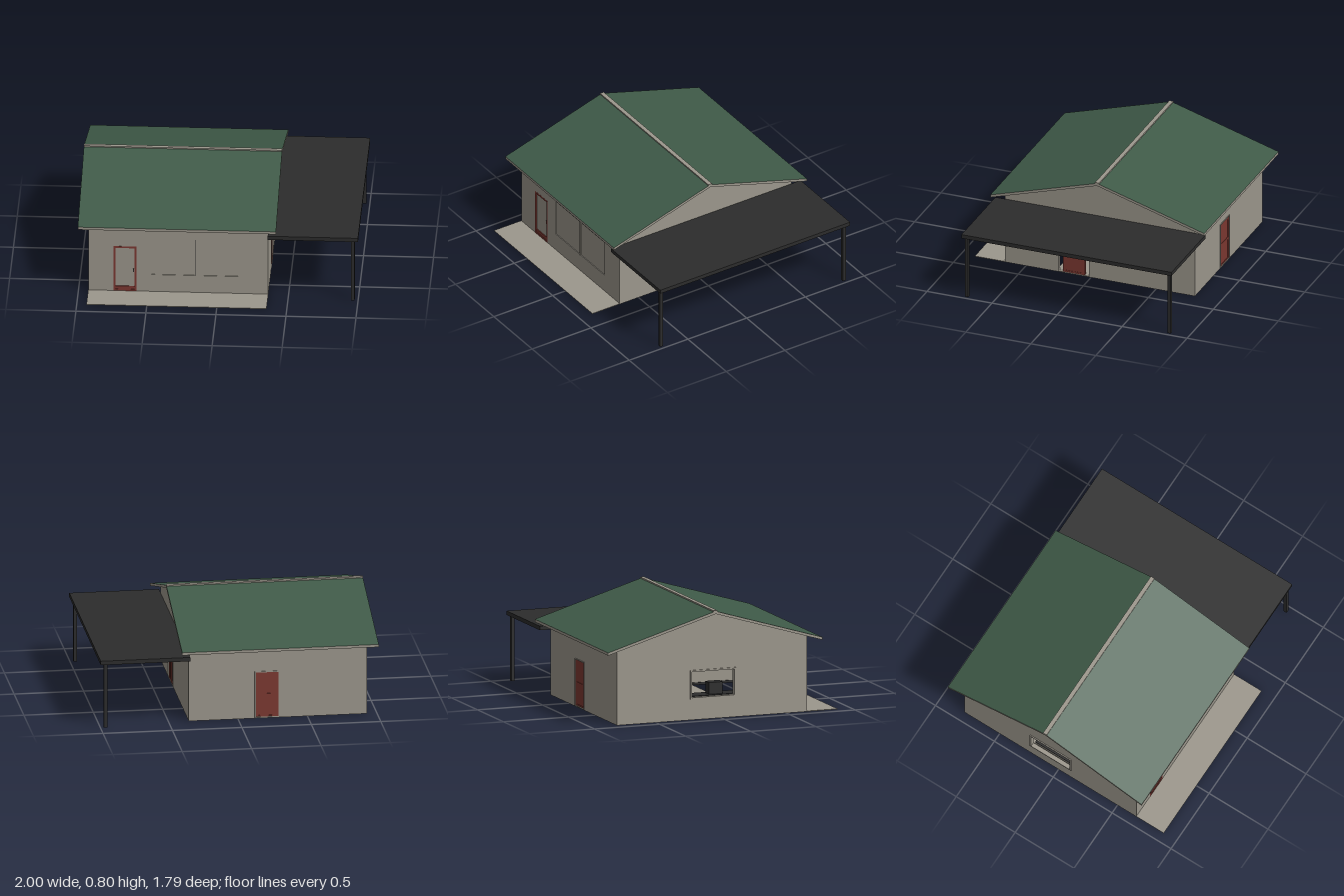
import * as THREE from 'three';

const mat = (name, color) => {
  const m = new THREE.MeshStandardMaterial({ color });
  m.name = name;
  return m;
};

export function createModel() {
  const house = new THREE.Group();
  house.name = 'house';
  const beige = mat('beige plaster', 0x9c978c);
  const green = mat('green roofing', 0x3f5a48);
  const red = mat('red joinery', 0x7c3831);
  const black = mat('black metal', 0x2c2c2c);

  // Main dimensions
  const X0 = -0.93, X1 = 0.355, Z0 = -0.8, Z1 = 0.66, T = 0.03;
  const ridgeZ = -0.07, ridgeY = 0.79, slope = 0.298, roofT = 0.02;
  const under = z => ridgeY - roofT - slope * Math.abs(z - ridgeZ);

  // Box given by its limits on each axis
  const box = (name, m, x0, x1, y0, y1, z0, z1, parent = house) => {
    const mesh = new THREE.Mesh(new THREE.BoxGeometry(x1 - x0, y1 - y0, z1 - z0), m);
    mesh.position.set((x0 + x1) / 2, (y0 + y1) / 2, (z0 + z1) / 2);
    mesh.name = name;
    parent.add(mesh);
    return mesh;
  };

  // Wall panel: outline and rectangular openings [u0, u1, v0, v1]
  const wall = (name, outline, openings) => {
    const shape = new THREE.Shape(outline.map(p => new THREE.Vector2(...p)));
    for (const [a, b, c, d] of openings) {
      shape.holes.push(new THREE.Path([[a, c], [a, d], [b, d], [b, c]].map(p => new THREE.Vector2(...p))));
    }
    const geo = new THREE.ExtrudeGeometry(shape, { depth: T, bevelEnabled: false });
    const mesh = new THREE.Mesh(geo, beige);
    mesh.name = name;
    house.add(mesh);
    return mesh;
  };

  // Rectangular frame lying in the xy plane, centred on z = 0
  const frame = (parent, m, a, b, c, d, w, depth) => {
    const h = depth / 2;
    box('frameSide', m, a, a + w, c, d, -h, h, parent);
    box('frameSide', m, b - w, b, c, d, -h, h, parent);
    box('frameTop', m, a + w, b - w, d - w, d, -h, h, parent);
    box('frameBottom', m, a + w, b - w, c, c + w, -h, h, parent);
  };
  const fitting = (name, x, z, turn = 0) => {
    const g = new THREE.Group();
    g.name = name;
    g.position.set(x, 0, z);
    g.rotation.y = turn;
    house.add(g);
    return g;
  };

  // Walls
  const long = [[X0 + T, 0], [X1 - T, 0], [X1 - T, 0.55], [X0 + T, 0.55]];
  const frontDoor = [-0.75, -0.585, 0.003, 0.357], frontWin = [-0.485, 0.16, 0.133, 0.42];
  const backDoor = [-0.3, -0.12, 0.003, 0.35];
  wall('frontWall', long, [frontDoor, frontWin]).position.z = Z1 - T;
  wall('backWall', long, [backDoor]).position.z = Z0;
  const gable = [[Z0, 0], [Z1, 0], [Z1, under(Z1)], [ridgeZ, under(ridgeZ)], [Z0, under(Z0)]];
  const side = [0.008, 0.255, 0.003, 0.345], sideWin = [-0.24, 0.11, 0.15, 0.36];
  for (const [name, x, hole] of [['leftGableWall', X1, side], ['rightGableWall', X0 + T, sideWin]]) {
    const w = wall(name, gable, [hole]);
    w.rotation.y = -Math.PI / 2;
    w.position.x = x;
  }

  // Front door: red frame with a plain leaf
  const fd = fitting('frontDoor', 0, Z1 - 0.012);
  frame(fd, red, ...frontDoor, 0.014, 0.026);
  box('kickBoard', red, -0.736, -0.599, 0.016, 0.04, -0.01, 0.01, fd);
  box('doorLeaf', beige, -0.736, -0.599, 0.04, 0.343, -0.006, 0.004, fd);
  box('handle', black, -0.61, -0.604, 0.155, 0.18, 0.004, 0.012, fd);

  // Front window: two panes in slim frames
  const fw = fitting('frontWindow', 0, Z1 - 0.008);
  for (const [a, b] of [[-0.485, -0.165], [-0.16, 0.16]]) {
    frame(fw, beige, a, b, 0.133, 0.42, 0.005, 0.016);
    box('pane', beige, a + 0.005, b - 0.005, 0.138, 0.415, -0.003, 0.003, fw);
  }
  box('mullion', black, -0.165, -0.16, 0.133, 0.42, -0.004, 0.004, fw);

  // Panelled red door leaf with raised rails on both faces
  const leaf = (g, a, b, c, d) => {
    box('doorLeaf', red, a, b, c, d, -0.008, 0.008, g);
    const mid = (c + d) / 2;
    frame(g, red, a, b, c, d, 0.018, 0.022);
    box('middleRail', red, a, b, mid - 0.01, mid + 0.01, -0.011, 0.011, g);
  };
  const bd = fitting('backDoor', 0, Z0 + 0.011);
  frame(bd, beige, ...backDoor, 0.008, 0.03);
  leaf(bd, -0.292, -0.128, 0.003, 0.342);

  // Side entrance: red door between open sidelights
  const sd = fitting('sideDoor', X1 - 0.012, 0, -Math.PI / 2);
  frame(sd, beige, ...side, 0.005, 0.028);
  leaf(sd, 0.048, 0.215, 0.003, 0.34);
  box('centreStile', red, 0.123, 0.14, 0.003, 0.34, -0.011, 0.011, sd);

  // Side window frame, slightly proud of the wall
  const sw = fitting('sideWindow', X0 + 0.008, 0, -Math.PI / 2);
  frame(sw, beige, ...sideWin, 0.012, 0.032);

  // Floor, skirting and front terrace
  box('floor', beige, X0 + T, X1 - T, 0, 0.006, Z0 + T, 0.27);
  box('terrace', beige, X0, X1, 0, 0.004, Z1, 0.893);
  for (const x of [X0 + T, X1 - T - 0.008]) {
    box('skirting', black, x, x + 0.008, 0.001, 0.018, 0.27, Z1 - T);
  }
  box('skirting', black, X0 + T, -0.76, 0.001, 0.018, Z1 - T - 0.008, Z1 - T);
  box('skirting', black, -0.58, X1 - T, 0.001, 0.018, Z1 - T - 0.008, Z1 - T);

  // Kitchen counter under the side window
  const kitchen = new THREE.Group();
  kitchen.name = 'kitchen';
  house.add(kitchen);
  box('plinth', black, -0.895, -0.79, 0.006, 0.02, -0.22, 0.5, kitchen);
  box('cabinet', beige, -0.895, -0.78, 0.02, 0.155, -0.22, 0.5, kitchen);
  box('worktop', black, -0.895, -0.775, 0.155, 0.165, -0.22, 0.5, kitchen);
  box('appliance', black, -0.87, -0.8, 0.165, 0.25, -0.07, 0.035, kitchen);

  // Roof: sheared slabs, green on the faces and beige on the edges
  const roofMats = [beige, beige, green, green, beige, beige];
  for (const [name, end, s] of [['frontRoof', 0.75, -1], ['backRoof', -0.895, 1]]) {
    const len = Math.abs(end - ridgeZ);
    const geo = new THREE.BoxGeometry(1.415, roofT, len);
    geo.applyMatrix4(new THREE.Matrix4().set(1, 0, 0, 0, 0, 1, s * slope, 0, 0, 0, 1, 0, 0, 0, 0, 1));
    geo.deleteAttribute('normal');
    const flat = geo.toNonIndexed();
    geo.groups.forEach(g => flat.addGroup(g.start, g.count, g.materialIndex));
    flat.computeVertexNormals();
    const mesh = new THREE.Mesh(flat, roofMats);
    mesh.name = name;
    mesh.position.set(-0.2925, ridgeY - roofT / 2 - slope * len / 2, (ridgeZ + end) / 2);
    house.add(mesh);
  }
  box('ridgeCap', beige, -1, 0.415, 0.784, 0.795, ridgeZ - 0.016, ridgeZ + 0.014);

  // Carport with two posts and a ceiling panel
  const carport = new THREE.Group();
  carport.name = 'carport';
  house.add(carport);
  box('carportRoof', black, X1, 1, 0.473, 0.502, -0.88, 0.735, carport);
  for (const z of [-0.85, 0.707]) {
    box('carportPost', black, 0.95, 0.975, 0, 0.473, z - 0.0125, z + 0.0125, carport);
  }
  box('ceilingPanel', beige, 0.607, 0.747, 0.469, 0.473, -0.14, 0, carport);

  return house;
}
